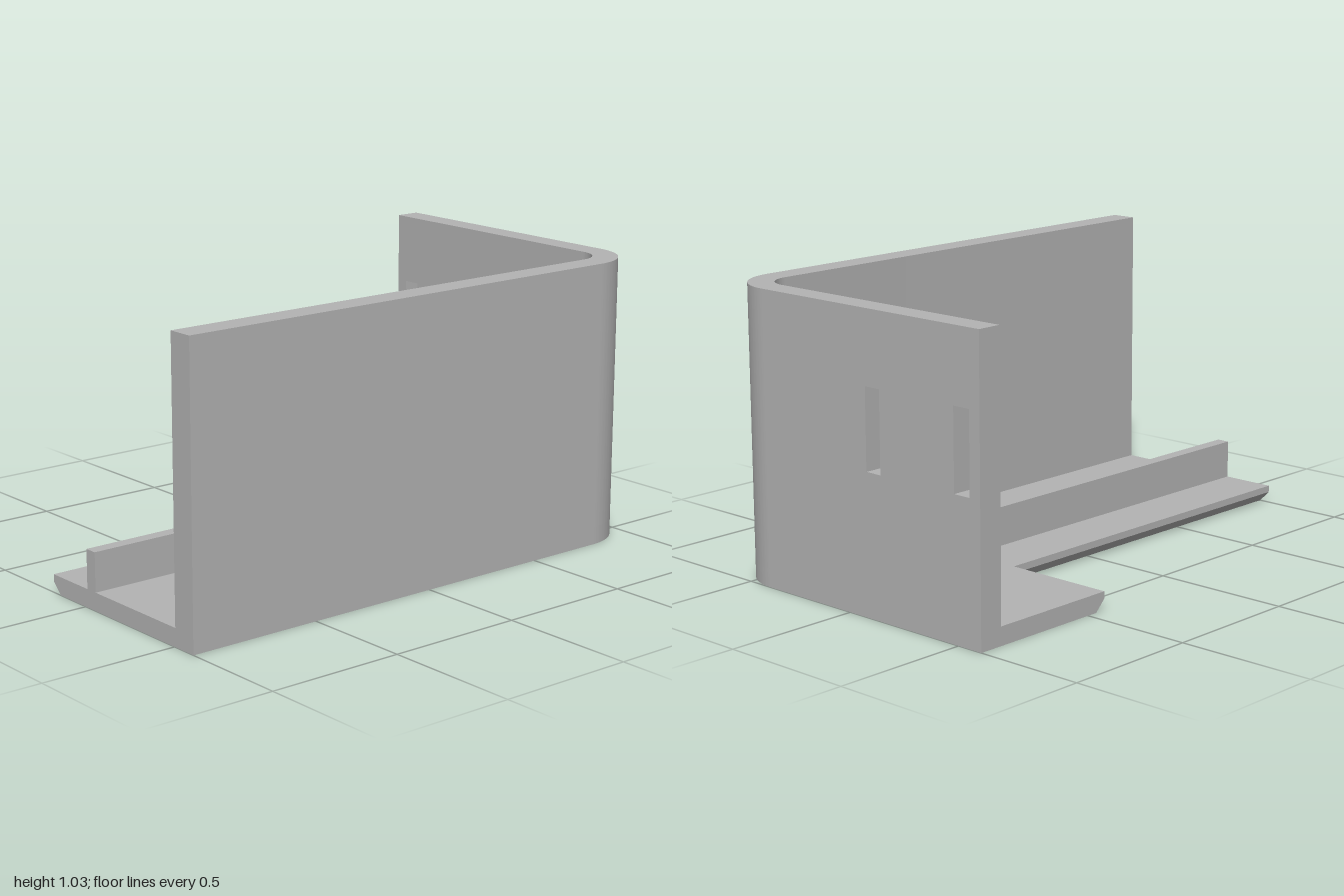
import * as THREE from 'three';
import { toCreasedNormals } from 'three/addons/utils/BufferGeometryUtils.js';

const FLOOR = 0.065, TOP = 1.03, CHAMFER = 0.04;

export function createModel() {
  const group = new THREE.Group();
  const grey = new THREE.MeshStandardMaterial({ color: 0xb3b3b3 });
  grey.name = 'plain grey';

  const add = (name, geometry) => {
    const mesh = new THREE.Mesh(geometry, grey);
    mesh.name = name;
    group.add(mesh);
  };
  // Plan outlines use (x, -z) and are raised from y0 to y1.
  const raise = (shape, y0, y1, steps = 1) =>
    new THREE.ExtrudeGeometry(shape, { depth: y1 - y0, steps, bevelEnabled: false, curveSegments: 24 })
      .rotateX(-Math.PI / 2).translate(0, y0, 0);
  const smooth = (geometry) => toCreasedNormals(geometry, 0.5);
  const box = (name, x0, x1, y0, y1, z0, z1) =>
    add(name, new THREE.BoxGeometry(x1 - x0, y1 - y0, z1 - z0)
      .translate((x0 + x1) / 2, (y0 + y1) / 2, (z0 + z1) / 2));

  // L-shaped floor with a chamfer under its two inner edges
  const plan = new THREE.Shape();
  plan.moveTo(-0.6, 1).lineTo(0.4, 1);
  plan.absarc(0.4, 0.8, 0.2, Math.PI / 2, 0, true);
  plan.lineTo(0.6, -1).lineTo(-0.19, -1).lineTo(-0.19, 0.42).lineTo(-0.6, 0.42);
  const floor = raise(plan, 0, FLOOR, 2);
  const p = floor.attributes.position;
  for (let i = 0; i < p.count; i++) {
    const y = p.getY(i);
    if (y < 0.001) {
      if (Math.abs(p.getX(i) + 0.19) < 0.001) p.setX(i, -0.19 + CHAMFER);
      if (Math.abs(p.getZ(i) + 0.42) < 0.001) p.setZ(i, -0.42 - CHAMFER);
    } else if (y < FLOOR - 0.001) p.setY(i, CHAMFER);
  }
  add('floor', smooth(floor));

  // Side wall with the rounded back corner
  const side = new THREE.Shape();
  side.moveTo(0.4, 1);
  side.absarc(0.4, 0.8, 0.2, Math.PI / 2, 0, true);
  side.lineTo(0.6, -1).lineTo(0.505, -1).lineTo(0.505, 0.805);
  side.absarc(0.4, 0.805, 0.105, 0, Math.PI / 2, false);
  add('sideWall', smooth(raise(side, FLOOR, TOP)));

  // Back wall with two upright slots
  const rect = (Type, x0, x1, y0, y1) =>
    new Type([[x0, y0], [x1, y0], [x1, y1], [x0, y1]].map(([x, y]) => new THREE.Vector2(x, y)));
  const back = rect(THREE.Shape, -0.6, 0.4, FLOOR, TOP);
  for (const [x0, x1] of [[-0.555, -0.487], [-0.155, -0.09]])
    back.holes.push(rect(THREE.Path, x0, x1, 0.493, 0.775));
  add('backWall', new THREE.ExtrudeGeometry(back, { depth: 0.09, bevelEnabled: false }).translate(0, 0, -1));

  // Corner post with a round screw hole
  const post = new THREE.Shape();
  post.moveTo(0.185, 0.605).lineTo(0.505, 0.605).lineTo(0.505, 0.805);
  post.absarc(0.4, 0.805, 0.105, 0, Math.PI / 2, false);
  post.lineTo(0.185, 0.91);
  post.holes.push(new THREE.Path().absarc(0.34, 0.77, 0.052, 0, Math.PI * 2, true));
  add('cornerPost', smooth(raise(post, FLOOR, 0.815)));

  // Long rib and short tab standing on the floor
  box('rib', 0.012, 0.06, FLOOR, 0.205, -0.815, 1);
  box('tab', -0.202, -0.042, FLOOR, 0.205, -0.815, -0.77);

  return group;
}
